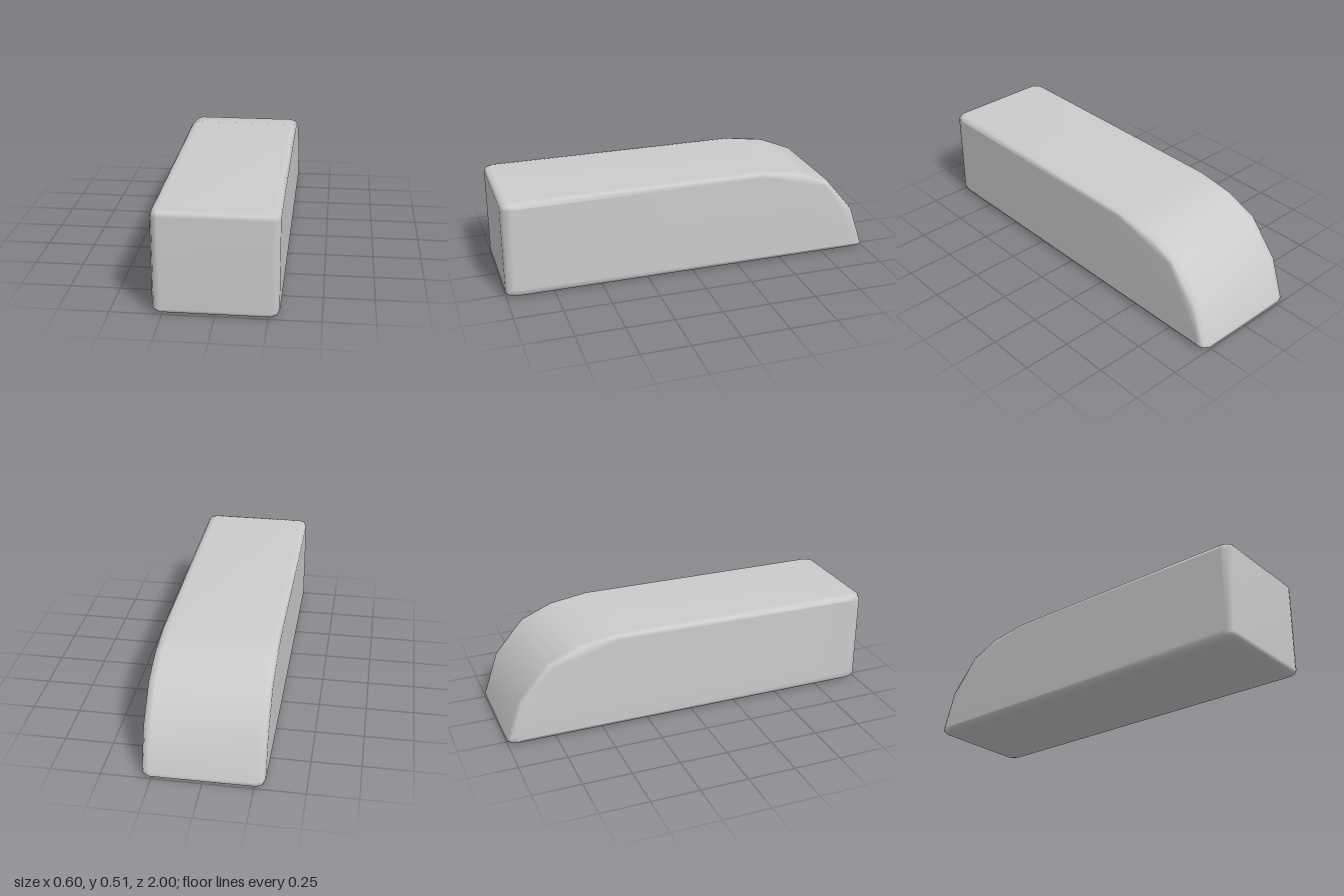
import * as THREE from 'three';

// Side outline as (z, y): square rounded front, flat top, curved sloping back
const PROFILE = [
  [0.965, 0], [0.99, 0.007], [1, 0.025], [1, 0.49], [0.99, 0.508], [0.965, 0.515],
  [-0.4, 0.515], [-0.6, 0.485], [-0.77, 0.415], [-0.925, 0.23],
  [-0.993, 0.03], [-1, 0.014], [-0.988, 0.004], [-0.955, 0],
];
const MID_Y = 0.2575;

// Rings across the width: x position and how much the outline shrinks there
const RINGS = [[0.302, 1], [0.29, 0.28], [0.26, 0]];
const INSET_Z = 0.042, INSET_Y = 0.024;

function bodyGeometry() {
  const rings = [
    ...RINGS.map(([x, k]) => [-x, k]),
    ...[...RINGS].reverse(),
  ];
  const n = PROFILE.length;
  const positions = [], index = [];
  for (const [x, k] of rings) {
    for (const [z, y] of PROFILE) {
      positions.push(x, MID_Y + (y - MID_Y) * (1 - k * INSET_Y / MID_Y), z * (1 - k * INSET_Z));
    }
  }
  // Skin between neighbouring rings
  for (let i = 0; i < rings.length - 1; i++) {
    for (let j = 0; j < n; j++) {
      const a = i * n + j, d = i * n + (j + 1) % n;
      index.push(a, a + n, d + n, a, d + n, d);
    }
  }
  // Flat side caps
  const contour = PROFILE.map(([z, y]) => new THREE.Vector2(z, y));
  const last = (rings.length - 1) * n;
  for (const [a, b, c] of THREE.ShapeUtils.triangulateShape(contour, [])) {
    index.push(a, b, c, last + a, last + c, last + b);
  }
  const geometry = new THREE.BufferGeometry();
  geometry.setAttribute('position', new THREE.Float32BufferAttribute(positions, 3));
  geometry.setIndex(index);
  geometry.computeVertexNormals(); // area weighted: large faces stay flat
  return geometry;
}

export function createModel() {
  const group = new THREE.Group();
  group.name = 'roundedBlock';
  const body = new THREE.Mesh(bodyGeometry(), new THREE.MeshStandardMaterial({ color: 0xcccccc }));
  body.name = 'body';
  group.add(body);
  return group;
}
